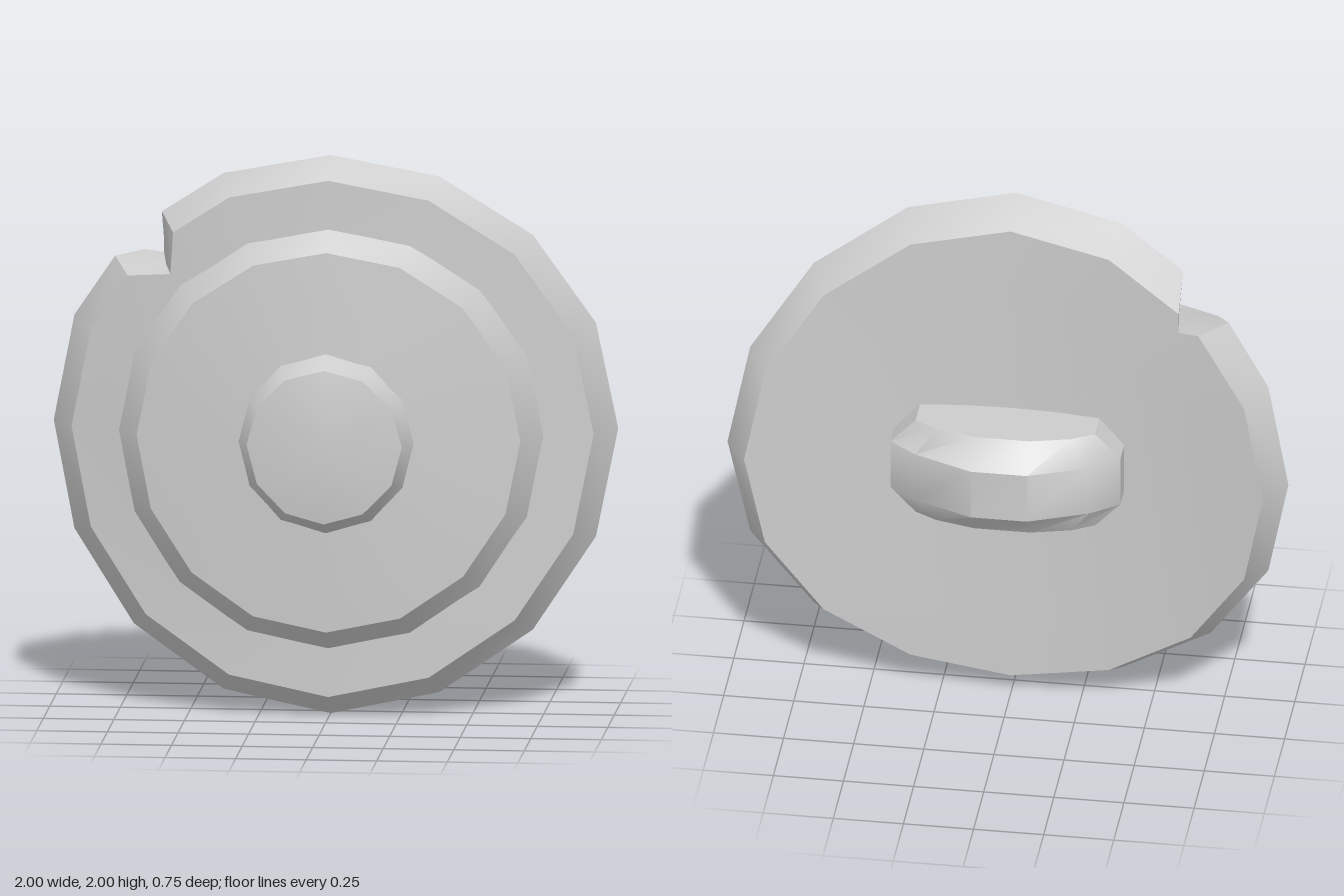
import * as THREE from 'three';
import { mergeVertices, toCreasedNormals } from 'three/addons/utils/BufferGeometryUtils.js';

const material = new THREE.MeshStandardMaterial({ color: 0xcccccc });

// Closed rings of [x, y, z] points, all the same length, skinned in order
function loft(name, rings) {
  const n = rings[0].length;
  const geo = new THREE.BufferGeometry();
  const index = [];
  for (let i = 0; i < rings.length - 1; i++) {
    for (let j = 0; j < n; j++) {
      const k = (j + 1) % n;
      const a = i * n + j, b = i * n + k, c = b + n, d = a + n;
      if (i > 0) index.push(a, b, c, a, c, d); // first ring may be a point
      else index.push(a, b, c, ...(rings[0].every(p => p.join() === rings[0][0].join()) ? [] : [a, c, d]));
      if (i === 0 && rings[0].every(p => p.join() === rings[0][0].join())) index.splice(-3, 3, a, c, d);
    }
  }
  geo.setAttribute('position', new THREE.Float32BufferAttribute(rings.flat(2), 3));
  geo.setIndex(index);
  const mesh = new THREE.Mesh(toCreasedNormals(mergeVertices(geo), 0.6), material);
  mesh.name = name;
  return mesh;
}

// Everything wraps backwards around the vertical axis
const bend = (pts, z, scale = 1, curve = 0.205) =>
  pts.map(([x, y]) => [x * scale, y * scale, z - curve * (x * scale) ** 2]);

const polygon = (sides, r) => Array.from({ length: sides }, (_, i) => {
  const a = i / sides * Math.PI * 2;
  return [r * Math.cos(a), r * Math.sin(a)];
});

// 16-sided outline whose upper corner is replaced by a notch
function notched(r, notch) {
  const pts = polygon(16, r);
  pts.splice(6, 1, ...notch);
  return pts;
}

// Round raised step: profile of [radius, z], wide to narrow
const step = (name, sides, profile, curve) =>
  loft(name, profile.map(([r, z]) => bend(polygon(sides, r), z, 1, curve)));

export function createModel() {
  const group = new THREE.Group();
  const shield = new THREE.Group();
  shield.position.y = 1;
  shield.name = 'shield';
  group.add(shield);

  // Curved plate with bevelled rim and notch
  const back = notched(0.925, [[-0.61, 0.683], [-0.61, 0.605], [-0.683, 0.61]]);
  const outer = notched(1, [[-0.605, 0.775], [-0.59, 0.588], [-0.775, 0.605]]);
  const front = notched(0.925, [[-0.555, 0.72], [-0.565, 0.57], [-0.72, 0.555]]);
  shield.add(loft('plate', [
    ...[0, 0.25, 0.5, 0.75, 1].map(t => bend(back, -0.09, t)),
    bend(outer, 0.05),
    ...[1, 0.75].map(t => bend(front, 0.15, t)),
  ]));

  // Raised disc and central boss
  shield.add(step('raisedDisc', 16, [[0.785, 0.11], [0.75, 0.15], [0.68, 0.23], [0.3, 0.25], [0, 0.255]]));
  shield.add(step('boss', 12, [[0.345, 0.21], [0.32, 0.25], [0.275, 0.33], [0, 0.37]], 0.4));

  // Grip on the back: arched profile with bevelled upper and lower edges
  const arch = half => [...half, ...half.map(([x, z]) => [-x, z]).reverse()];
  const wide = arch([[0.41, -0.06], [0.41, -0.22], [0.31, -0.295], [0.1, -0.38]]);
  const narrow = arch([[0.32, -0.06], [0.32, -0.22], [0.24, -0.265], [0.1, -0.3]]);
  const centre = narrow.map(() => [0, -0.15]);
  const sections = [[centre, -0.19], [narrow, -0.19], [wide, -0.095], [wide, 0.095], [narrow, 0.19], [centre, 0.19]];
  shield.add(loft('grip', sections.map(([pts, y]) => pts.map(([x, z]) => [x, y, z]))));

  return group;
}
